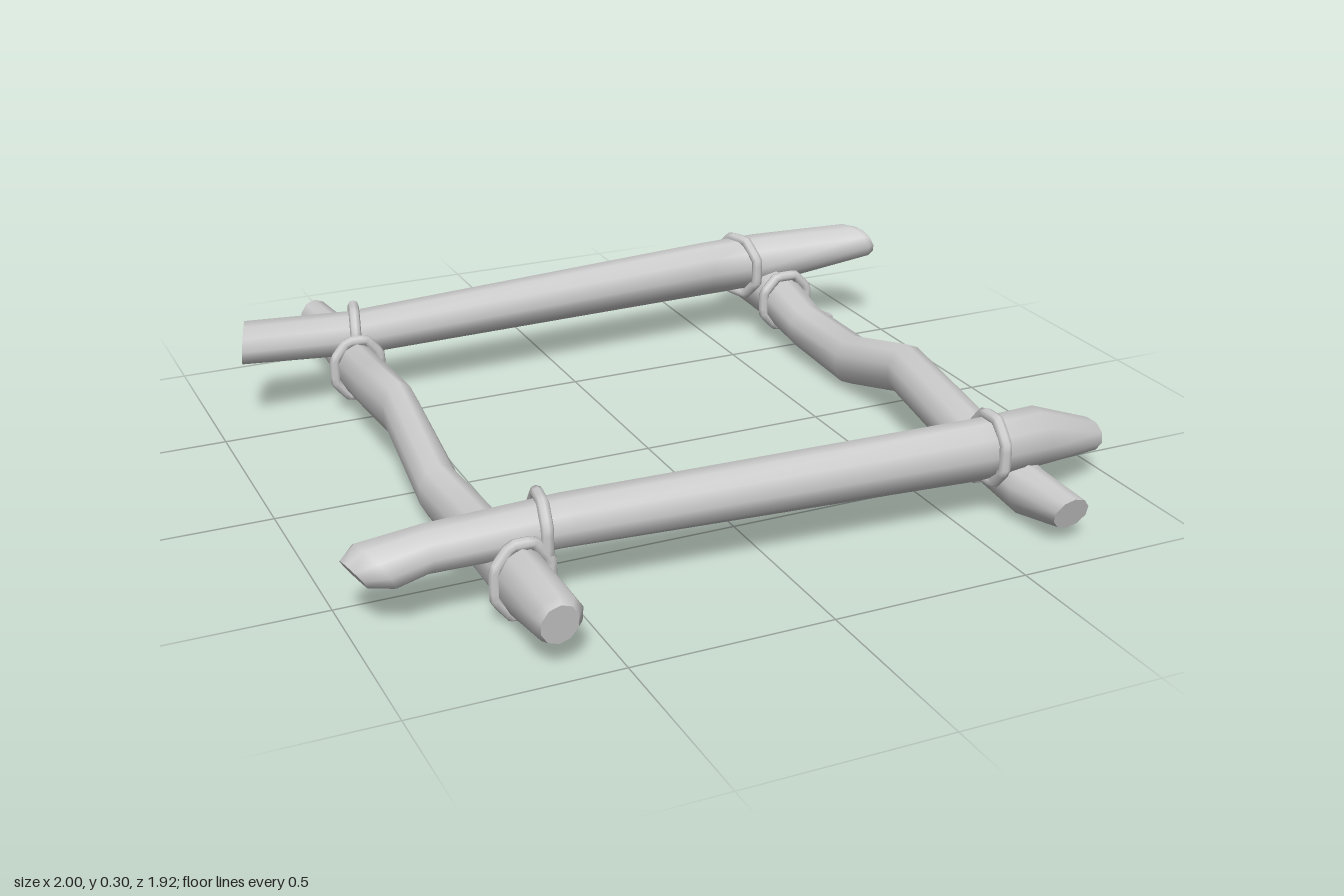
import * as THREE from 'three';

const wood = new THREE.MeshStandardMaterial({ color: 0xcccccc });
wood.name = 'paleGreyWood';

// Position from distance along the axis, sideways coordinate and height
const place = (axis, t, s, y) => (axis === 'x' ? [t, y, s] : [s, y, t]);

// Point on an elliptical section; the angle runs counterclockwise about +axis
function section(axis, [t, s0, s1, y0, y1, leanY = 0, leanS = 0], angle) {
  const c = Math.cos(angle), d = Math.sin(angle);
  const [p, q] = axis === 'x' ? [d, c] : [c, d];
  const ds = p * (s1 - s0) / 2, dy = q * (y1 - y0) / 2;
  return place(axis, t + leanY * dy + leanS * ds, (s0 + s1) / 2 + ds, (y0 + y1) / 2 + dy);
}

// Log: sections [along, side min, side max, y min, y max, end leans], smooth sides, flat ends
function makeLog(name, axis, stations, sides = 10) {
  const pos = [], index = [];
  const ring = st => {
    const base = pos.length / 3;
    for (let j = 0; j < sides; j++) pos.push(...section(axis, st, (j + 0.5) / sides * Math.PI * 2));
    return base;
  };
  const rings = stations.map(ring);
  for (let i = 0; i + 1 < rings.length; i++) {
    for (let j = 0; j < sides; j++) {
      const k = (j + 1) % sides, a = rings[i], b = rings[i + 1];
      index.push(a + j, a + k, b + j, a + k, b + k, b + j);
    }
  }
  [[stations[0], true], [stations[stations.length - 1], false]].forEach(([st, first]) => {
    const b = ring(st);
    for (let j = 1; j + 1 < sides; j++) index.push(b, b + (first ? j + 1 : j), b + (first ? j : j + 1));
  });
  const geo = new THREE.BufferGeometry();
  geo.setAttribute('position', new THREE.Float32BufferAttribute(pos, 3));
  geo.setIndex(index);
  geo.computeVertexNormals();
  const mesh = new THREE.Mesh(geo, wood);
  mesh.name = name;
  return mesh;
}

// Angular rope loop around a log
function makeRope(name, axis, spec) {
  const points = [];
  for (let j = 0; j < 8; j++) {
    points.push(new THREE.Vector3(...section(axis, spec, (j + 0.5) / 8 * Math.PI * 2)));
  }
  const curve = new THREE.CatmullRomCurve3(points, true, 'catmullrom', 0.08);
  const mesh = new THREE.Mesh(new THREE.TubeGeometry(curve, 32, 0.015, 8, true), wood);
  mesh.name = name;
  return mesh;
}

// Broken twig stub on the outside of a side log
function makeStub(name, x, y, z, dir) {
  const geo = new THREE.CylinderGeometry(0.012, 0.065, 0.07, 8);
  geo.rotateZ(-dir * Math.PI / 2);
  geo.scale(1, 0.6, 1);
  const mesh = new THREE.Mesh(geo, wood);
  mesh.position.set(x, y, z);
  mesh.name = name;
  return mesh;
}

export function createModel() {
  const model = new THREE.Group();
  model.name = 'logFrame';

  // Front and back logs
  model.add(makeLog('frontLog', 'x', [
    [-0.975, 0.57, 0.65, 0.105, 0.175, -0.7, 0.2],
    [-0.93, 0.547, 0.69, 0.10, 0.21, -0.6, 0.2],
    [-0.82, 0.57, 0.695, 0.125, 0.235],
    [-0.5, 0.575, 0.705, 0.125, 0.25],
    [0.55, 0.625, 0.76, 0.105, 0.26],
    [0.74, 0.59, 0.745, 0.10, 0.25],
    [0.95, 0.53, 0.66, 0.075, 0.15, 0.35],
  ]));
  model.add(makeLog('backLog', 'x', [
    [-0.905, -0.695, -0.55, 0.17, 0.28, 0.1, -0.3],
    [-0.6, -0.715, -0.58, 0.135, 0.255],
    [0.5, -0.765, -0.625, 0.13, 0.285],
    [0.67, -0.765, -0.615, 0.135, 0.29],
    [0.955, -0.70, -0.54, 0.205, 0.305, -0.3, 0.2],
    [0.985, -0.67, -0.55, 0.22, 0.295, -0.3, 0.1],
  ]));

  // Crooked side logs
  model.add(makeLog('leftSideLog', 'z', [
    [-0.88, 0.65, 0.765, 0.09, 0.18, 0.3],
    [-0.82, 0.625, 0.77, 0.06, 0.195],
    [-0.58, 0.63, 0.765, 0.05, 0.195],
    [-0.4, 0.63, 0.75, 0.03, 0.16],
    [-0.15, 0.64, 0.755, 0.01, 0.155],
    [0.12, 0.645, 0.76, 0.085, 0.225],
    [0.52, 0.61, 0.745, 0.035, 0.17],
    [0.75, 0.615, 0.735, 0.01, 0.135],
    [0.91, 0.635, 0.73, 0.04, 0.125, 0.3],
  ]));
  model.add(makeLog('rightSideLog', 'z', [
    [-0.96, -0.66, -0.575, 0.09, 0.19],
    [-0.8, -0.66, -0.555, 0.06, 0.195],
    [-0.55, -0.67, -0.56, 0.055, 0.20],
    [-0.36, -0.68, -0.57, 0.08, 0.225],
    [-0.1, -0.685, -0.59, 0.11, 0.262],
    [0.17, -0.685, -0.575, 0.003, 0.15],
    [0.5, -0.685, -0.57, 0.02, 0.165],
    [0.74, -0.69, -0.57, 0.02, 0.185],
    [0.93, -0.69, -0.57, 0.055, 0.175, 0.15],
    [0.955, -0.68, -0.59, 0.065, 0.165, 0.15],
  ]));

  // Twig stubs
  model.add(makeStub('leftStub', 0.755, 0.10, -0.44, 1));
  model.add(makeStub('rightStub', -0.685, 0.095, 0.475, -1));

  // Rope loops, two at each corner
  const ropes = [
    ['frontRightLogRope', 'x', [-0.555, 0.565, 0.72, 0.10, 0.263, 0, -0.15]],
    ['frontLeftLogRope', 'x', [0.59, 0.615, 0.765, 0.093, 0.268]],
    ['backRightLogRope', 'x', [-0.59, -0.73, -0.57, 0.115, 0.268, 0, -0.25]],
    ['backLeftLogRope', 'x', [0.608, -0.77, -0.605, 0.118, 0.292, 0, 0.3]],
    ['frontRightSideRope', 'z', [0.715, -0.695, -0.555, 0.012, 0.195]],
    ['frontLeftSideRope', 'z', [0.555, 0.602, 0.75, 0.025, 0.185]],
    ['backRightSideRope', 'z', [-0.56, -0.68, -0.545, 0.045, 0.21]],
    ['backLeftSideRope', 'z', [-0.555, 0.622, 0.772, 0.045, 0.205]],
  ];
  ropes.forEach(r => model.add(makeRope(...r)));
  return model;
}
